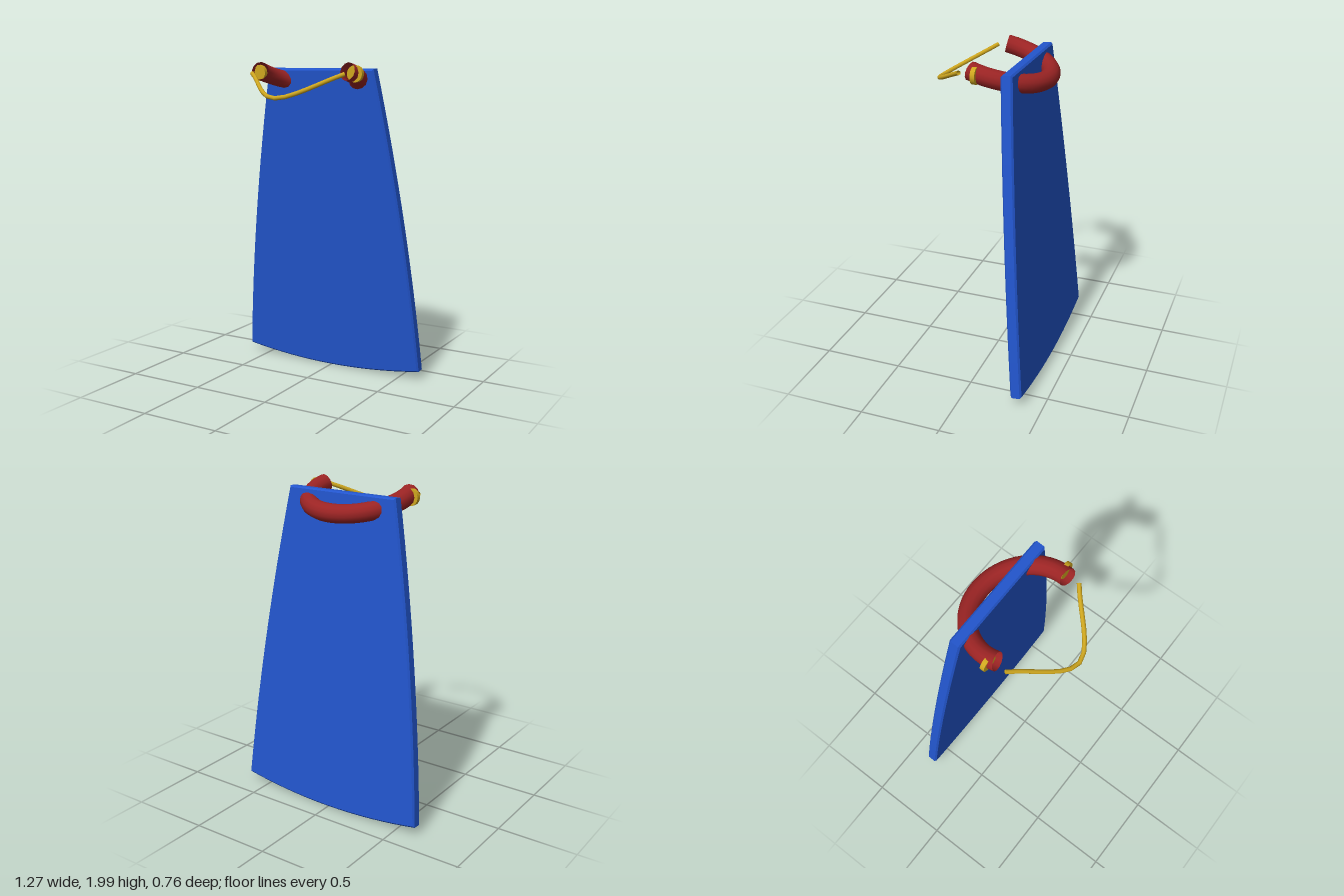
import * as THREE from 'three';

const mat = (name, color, side = THREE.FrontSide) => {
  const m = new THREE.MeshStandardMaterial({ color, side });
  m.name = name;
  return m;
};

export function createModel() {
  const blue = mat('blue cloth', 0x2255cc);
  const red = mat('red collar', 0x9c2424, THREE.DoubleSide);
  const gold = mat('gold metal', 0xcfa71f, THREE.DoubleSide);

  const model = new THREE.Group();
  model.name = 'cape';
  const add = (name, geometry, material) => {
    const mesh = new THREE.Mesh(geometry, material);
    mesh.name = name;
    model.add(mesh);
    return mesh;
  };

  // Cloth: flared panel with bowed sides and a curved hem, leaning back at the bottom
  const outline = new THREE.Shape();
  outline.moveTo(-0.37, 1.965);
  outline.quadraticCurveTo(-0.56, 1.0, -0.635, 0.06);
  outline.quadraticCurveTo(0, -0.05, 0.635, 0.06);
  outline.quadraticCurveTo(0.56, 1.0, 0.37, 1.965);
  outline.closePath();
  const panel = new THREE.ExtrudeGeometry(outline, {
    depth: 0.05, curveSegments: 16,
    bevelEnabled: true, bevelThickness: 0.01, bevelSize: 0.01, bevelOffset: -0.01, bevelSegments: 1,
  });
  panel.translate(0, 0, -0.025);
  const cloth = add('clothPanel', panel, blue);
  cloth.position.set(0, 0.003, -0.346);
  cloth.rotation.x = 0.0857;

  // Collar: open-ended ring, open at the front and sloping down at the back
  const extra = 0.2;
  const ring = new THREE.TorusGeometry(0.31, 0.055, 12, 32, Math.PI + 2 * extra);
  ring.rotateZ(-extra);
  ring.rotateX(-Math.PI / 2);
  const collar = add('collar', ring, red);
  collar.position.set(0, 1.932, -0.005);
  collar.rotation.x = -0.25;

  // Clasps: one disc at each end of the collar
  for (const [name, s] of [['leftClasp', 1], ['rightClasp', -1]]) {
    const disc = new THREE.CylinderGeometry(0.05, 0.05, 0.027, 16);
    disc.rotateX(Math.PI / 2);
    add(name, disc, gold).position.set(s * 0.336, 1.933, 0.015);
  }

  // Chain: thin cord hanging in front between the clasps
  const path = new THREE.CatmullRomCurve3([
    new THREE.Vector3(-0.32, 1.933, 0.12),
    new THREE.Vector3(0, 1.797, 0.368),
    new THREE.Vector3(0.32, 1.933, 0.12),
  ]);
  add('chain', new THREE.TubeGeometry(path, 14, 0.013, 8), gold);

  return model;
}
